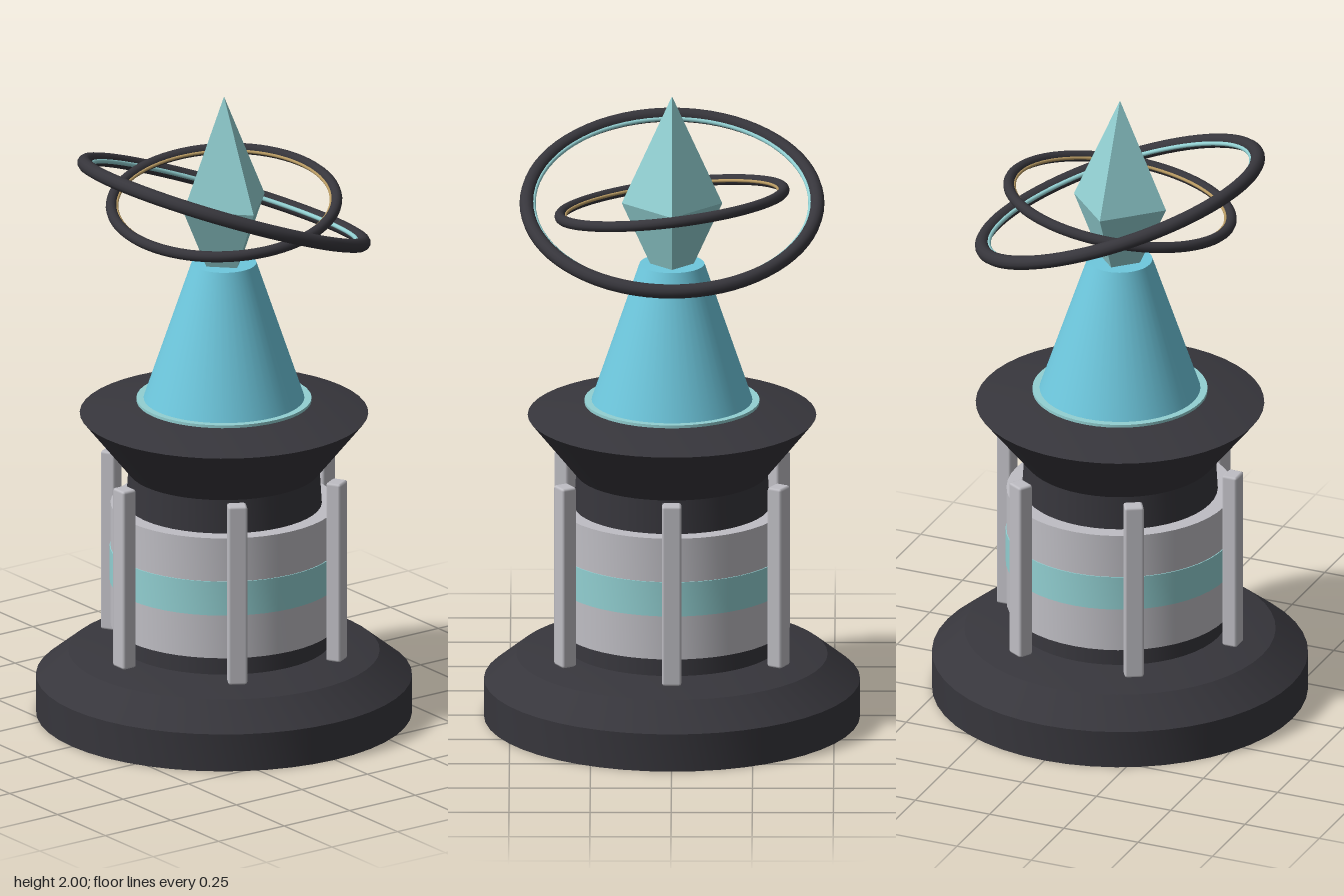
import * as THREE from 'three';
import { toCreasedNormals } from 'three/addons/utils/BufferGeometryUtils.js';
import { RoundedBoxGeometry } from 'three/addons/geometries/RoundedBoxGeometry.js';

const material = (name, color) => {
  const m = new THREE.MeshStandardMaterial({ color });
  m.name = name;
  return m;
};

export function createModel() {
  const model = new THREE.Group();
  model.name = 'crystalBeacon';

  const dark = material('darkStone', 0x37363c);
  const metal = material('paleMetal', 0xbfbec4);
  const blue = material('skyBlue', 0x6ec8de);
  const aqua = material('paleAqua', 0x92d0d2);
  const gold = material('gold', 0xb89a62);

  const add = (name, geometry, mat, parent = model) => {
    const mesh = new THREE.Mesh(geometry, mat);
    mesh.name = name;
    parent.add(mesh);
    return mesh;
  };

  // Turned part from [radius, height] points listed bottom to top, with crisp edges
  const turned = (name, profile, mat) => {
    const points = profile.map(([r, y]) => new THREE.Vector2(r, y));
    return add(name, toCreasedNormals(new THREE.LatheGeometry(points, 48), 0.3), mat);
  };

  // Stepped foot and tapering core
  turned('base', [[0, 0], [0.58, 0], [0.58, 0.12], [0.48, 0.2], [0.33, 0.23], [0, 0.23]], dark);
  turned('core', [[0.33, 0.22], [0.295, 0.79]], dark);

  // Hollow drum around the core, with a coloured band
  turned('drum', [[0.3, 0.29], [0.35, 0.29], [0.35, 0.68], [0.3, 0.68], [0.3, 0.29]], metal);
  turned('drumBand', [[0.348, 0.43], [0.353, 0.43], [0.353, 0.54], [0.348, 0.54]], aqua);

  // Six upright struts
  const struts = new THREE.Group();
  struts.name = 'struts';
  model.add(struts);
  const strutGeometry = new RoundedBoxGeometry(0.06, 0.58, 0.05, 1, 0.008);
  for (let i = 0; i < 6; i++) {
    const angle = (i * Math.PI) / 3;
    const strut = add('strut', strutGeometry, metal, struts);
    strut.position.set(0.38 * Math.sin(angle), 0.51, 0.38 * Math.cos(angle));
    strut.rotation.y = angle;
  }

  // Flared collar and the spire standing on it
  turned('collar', [[0, 0.78], [0.29, 0.78], [0.445, 0.972], [0.265, 1.013], [0, 1.013]], dark);
  turned('spireTrim', [[0.27, 1.0], [0.27, 1.021], [0, 1.021]], aqua);
  turned('spire', [[0.25, 1.015], [0.1, 1.46], [0, 1.46]], blue);

  // Four-sided crystal with its lower tip sunk in the spire
  const crystalGeometry = new THREE.OctahedronGeometry(1, 0);
  crystalGeometry.scale(0.155, 0.345, 0.155);
  add('crystal', crystalGeometry, aqua).position.y = 1.655;

  // Tilted floating rings, each with a thin inlay on its inner side
  const floatingRing = (name, radius, tube, inlayRadius, inlayTube, inlayMat, tiltX, tiltZ) => {
    const ring = new THREE.Group();
    ring.name = name;
    ring.position.y = 1.655;
    ring.rotation.set(tiltX, 0, tiltZ);
    model.add(ring);
    const torus = (r, t) => new THREE.TorusGeometry(r, t, 12, 72).rotateX(Math.PI / 2);
    add(name + 'Band', torus(radius, tube), dark, ring);
    add(name + 'Inlay', torus(inlayRadius, inlayTube), inlayMat, ring);
  };
  floatingRing('outerRing', 0.448, 0.022, 0.427, 0.007, aqua, -0.35, 0);
  floatingRing('innerRing', 0.348, 0.017, 0.331, 0.005, gold, 0.13, -0.12);

  return model;
}
